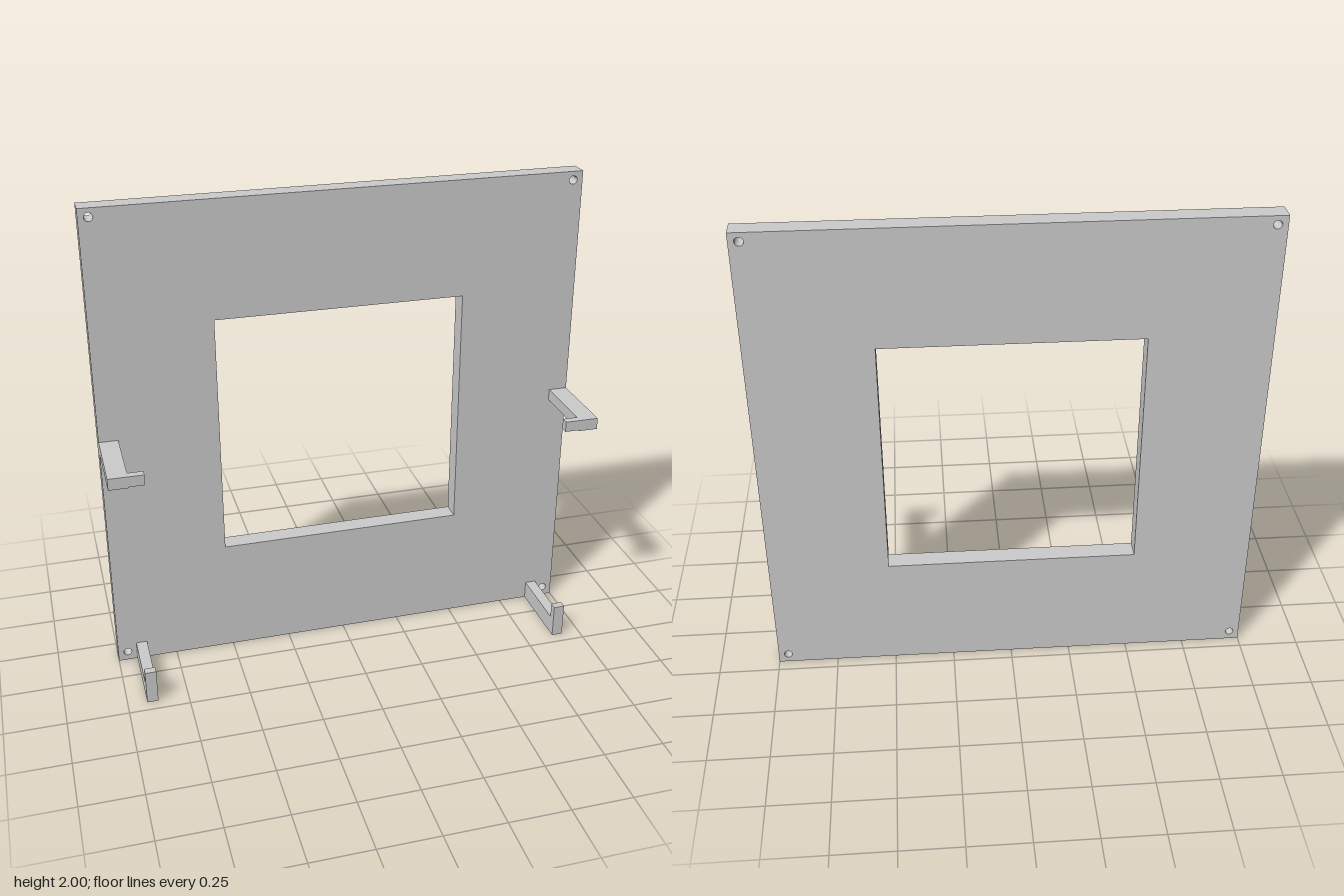
import * as THREE from 'three';

const material = new THREE.MeshStandardMaterial({ color: 0xcccccc });

// Flat bracket outline pushed out to a solid
function extrude(name, points, depth, holes = []) {
  const shape = new THREE.Shape(points.map(([x, y]) => new THREE.Vector2(x, y)));
  shape.holes.push(...holes);
  const geometry = new THREE.ExtrudeGeometry(shape, { depth, bevelEnabled: false, curveSegments: 24 });
  const mesh = new THREE.Mesh(geometry, material);
  mesh.name = name;
  return mesh;
}

function box(name, x0, x1, y0, y1, z0, z1) {
  const mesh = new THREE.Mesh(new THREE.BoxGeometry(x1 - x0, y1 - y0, z1 - z0), material);
  mesh.position.set((x0 + x1) / 2, (y0 + y1) / 2, (z0 + z1) / 2);
  mesh.name = name;
  return mesh;
}

export function createModel() {
  const model = new THREE.Group();
  model.name = 'mountingFrame';
  const back = -0.2, face = -0.12, front = 0.2, lip = 0.168;

  // Square plate with a window and four screw holes
  const windowHole = new THREE.Path([
    [-0.515, 0.492], [-0.515, 1.517], [0.508, 1.517], [0.508, 0.492],
  ].map(([x, y]) => new THREE.Vector2(x, y)));
  const holes = [windowHole];
  for (const x of [-0.96, 0.96]) {
    for (const y of [0.04, 1.965]) {
      holes.push(new THREE.Path().absarc(x, y, 0.017, 0, Math.PI * 2, true));
    }
  }
  const plate = extrude('plate', [[-1, 0], [1, 0], [1, 2], [-1, 2]], face - back, holes);
  plate.position.z = back;
  model.add(plate);

  for (const side of [-1, 1]) {
    const label = side > 0 ? 'left' : 'right';

    // Side clip: arm along the plate edge with a tip turned inward
    const [a0, a1] = [side, side * 0.922].sort((a, b) => a - b);
    const [t0, t1] = [side * 0.922, side * 0.86].sort((a, b) => a - b);
    const clip = new THREE.Group();
    clip.name = label + 'SideClip';
    clip.add(box('clipArm', a0, a1, 1.002, 1.05, face, front));
    clip.add(box('clipTip', t0, t1, 1.006, 1.05, lip, front));
    model.add(clip);

    // Bottom hook: L-shaped profile in the z-y plane
    const hook = extrude(label + 'BottomHook', [
      [-front, 0], [-face, 0], [-face, 0.078], [-lip, 0.078], [-lip, 0.145], [-front, 0.145],
    ], 0.046);
    hook.rotation.y = Math.PI / 2;
    hook.position.x = side * 0.898 - 0.023;
    model.add(hook);
  }
  return model;
}
